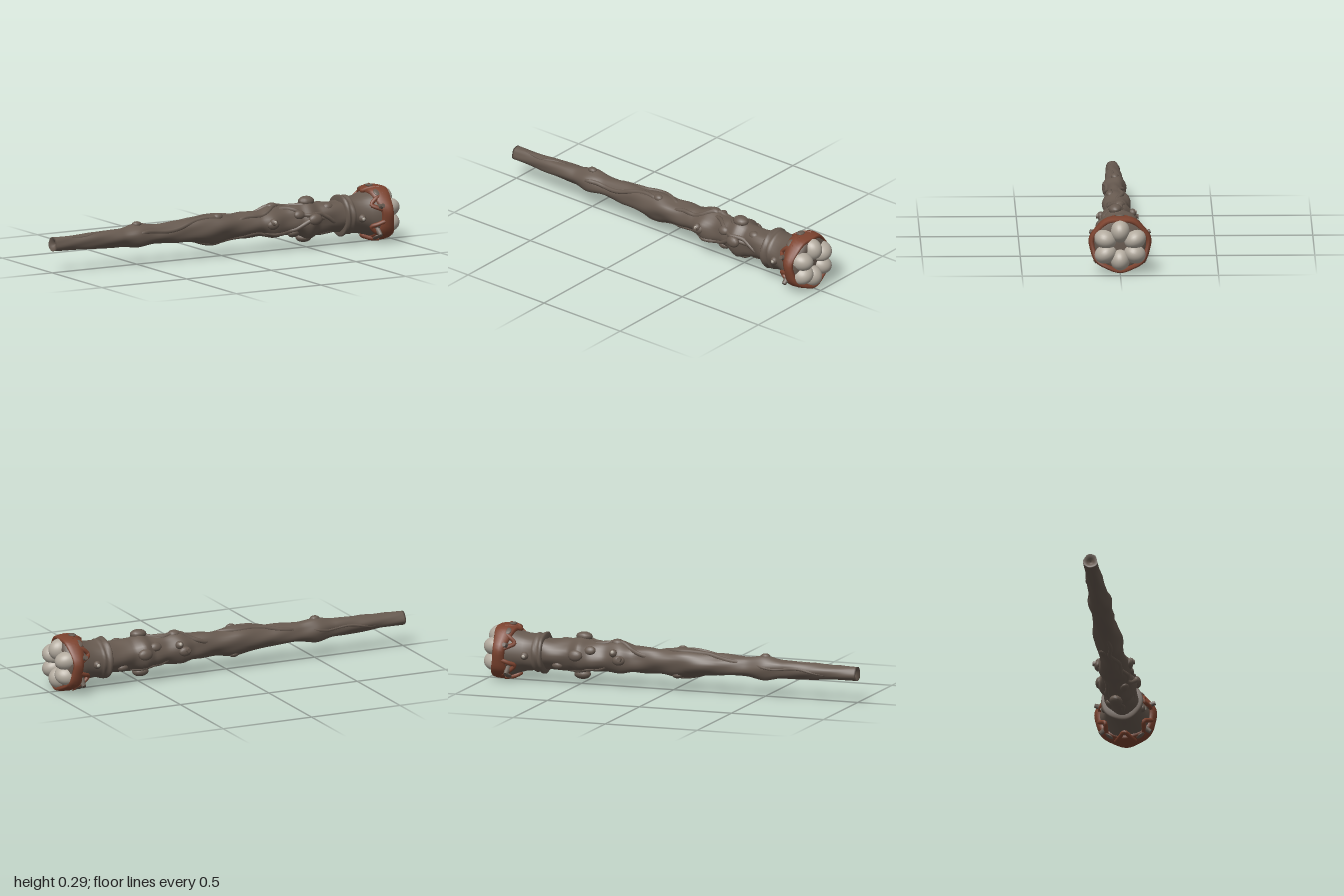
import * as THREE from 'three';

const CY = 0.147; // height of the long axis

// Skin of rings: point(i, a) gives [x, radiusY, radiusZ]; loop joins last ring to first
function loft(rings, sides, point, loop = false) {
  const pos = [], idx = [];
  for (let i = 0; i < rings; i++) {
    for (let j = 0; j < sides; j++) {
      const a = (j / sides) * Math.PI * 2;
      const [x, ry, rz = ry] = point(i, a);
      pos.push(x, CY + Math.sin(a) * ry, Math.cos(a) * rz);
    }
  }
  for (let i = 0; i < (loop ? rings : rings - 1); i++) {
    for (let j = 0; j < sides; j++) {
      const n = ((i + 1) % rings) * sides, m = i * sides, k = (j + 1) % sides;
      idx.push(m + j, n + j, m + k, n + j, n + k, m + k);
    }
  }
  const g = new THREE.BufferGeometry();
  g.setAttribute('position', new THREE.Float32BufferAttribute(pos, 3));
  g.setIndex(idx);
  g.computeVertexNormals();
  return g;
}

export function createModel() {
  const group = new THREE.Group();
  const bark = new THREE.MeshStandardMaterial({ color: 0x675a50 });
  bark.name = 'bark';
  const copper = new THREE.MeshStandardMaterial({ color: 0x7c432f });
  copper.name = 'copper';
  const ivory = new THREE.MeshStandardMaterial({ color: 0xb2aa9e });
  ivory.name = 'ivory';

  const add = (name, geo, mat) => {
    const m = new THREE.Mesh(geo, mat);
    m.name = name;
    group.add(m);
    return m;
  };
  // Point on a circle round the axis
  const around = (x, a, r) => new THREE.Vector3(x, CY + Math.sin(a) * r, Math.cos(a) * r);

  // Tapering shaft with swellings
  const profile = [
    [-1, 0.036], [-0.9, 0.036], [-0.75, 0.043], [-0.6, 0.047], [-0.5, 0.062], [-0.4, 0.05],
    [-0.25, 0.056], [-0.05, 0.074], [0.08, 0.064], [0.2, 0.066], [0.28, 0.084], [0.36, 0.072],
    [0.43, 0.08], [0.49, 0.098], [0.55, 0.079], [0.62, 0.08], [0.72, 0.084],
  ];
  const radiusAt = (x) => {
    let k = 0;
    while (k < profile.length - 2 && x > profile[k + 1][0]) k++;
    const [x0, r0] = profile[k], [x1, r1] = profile[k + 1];
    return THREE.MathUtils.lerp(r0, r1, THREE.MathUtils.smoothstep(x, x0, x1));
  };
  const grain = (x, a) => 1 + 0.045 * Math.sin(3 * a + 9 * x) + 0.03 * Math.sin(5 * a - 23 * x)
    + 0.05 * Math.sin(2 * a + 31 * x) * THREE.MathUtils.smoothstep(x, -0.6, 0.4);
  add('shaft', loft(174, 32, (i, a) => {
    if (i === 0) return [-0.975, 0];
    if (i === 1) return [-0.985, 0.018];
    const x = -1 + (1.72 * (i - 2)) / 171;
    return [x, radiusAt(x) * grain(x, a)];
  }), bark);

  // Raised roots that wander along the shaft
  const roots = [
    [-0.98, -0.6, 0.9, 0.5], [-0.9, -0.4, 3.4, -0.7], [-0.55, 0, 0.1, 1.1], [-0.4, 0.1, 2.4, -0.8],
    [-0.2, 0.3, 4.6, 0.9], [0.05, 0.45, 0.4, 1.6], [0.1, 0.5, 2.6, -1.5], [0.2, 0.6, 5.2, 1.4],
    [0.3, 0.66, 1.3, -1.6], [0.32, 0.68, 3.6, 1.5],
  ];
  roots.forEach(([x0, x1, a0, turn]) => {
    const pts = [];
    for (let i = 0; i <= 10; i++) {
      const t = i / 10, x = THREE.MathUtils.lerp(x0, x1, t);
      const a = a0 + turn * t + 0.2 * Math.sin(t * 11);
      pts.push(around(x, a, radiusAt(x) * grain(x, a) - 0.004 - 0.02 * Math.abs(2 * t - 1) ** 6));
    }
    const size = x1 < 0 ? 0.007 : 0.012;
    add('root', new THREE.TubeGeometry(new THREE.CatmullRomCurve3(pts), 40, size, 8), bark);
  });

  // Knots with broken twig stubs
  const knots = [
    [-0.5, 1.6, 0.02], [-0.04, 1.1, 0.02], [-0.03, 4.3, 0.02], [0.26, 0, 0.026], [0.27, 3.14, 0.026],
    [0.3, 1.7, 0.026], [0.42, 0.5, 0.024], [0.43, 2.6, 0.024], [0.49, 1.4, 0.034], [0.49, 4.6, 0.034],
    [0.5, 0.1, 0.03], [0.5, 3.0, 0.03], [0.4, 5.3, 0.024], [0.6, 0.9, 0.022], [0.61, 3.9, 0.022],
  ];
  const up = new THREE.Vector3(0, 1, 0);
  const outward = (a) => new THREE.Vector3(0, Math.sin(a), Math.cos(a));
  knots.forEach(([x, a, r]) => {
    const k = add('knot', new THREE.SphereGeometry(r, 14, 10), bark);
    k.scale.set(1.3, 0.75, 1);
    k.quaternion.setFromUnitVectors(up, outward(a));
    k.position.copy(around(x, a, radiusAt(x) - 0.002));
  });
  [[0.26, 0.1], [0.26, 3.05]].forEach(([x, a]) => {
    const s = add('twigStub', new THREE.CylinderGeometry(0.011, 0.017, 0.03, 9), bark);
    s.quaternion.setFromUnitVectors(up, outward(a));
    s.position.copy(around(x, a, 0.093));
  });

  // Collar with rolled lips, swelling into the head
  const collar = [[0.685, 0.07], [0.685, 0.1], [0.692, 0.108], [0.703, 0.106], [0.708, 0.097], [0.72, 0.096],
    [0.726, 0.102], [0.736, 0.1], [0.745, 0.094], [0.79, 0.097], [0.83, 0.108], [0.87, 0.126],
    [0.91, 0.136], [0.94, 0.128], [0.952, 0.1], [0.952, 0]];
  add('collar', loft(collar.length, 40, (i, a) => [
    collar[i][0], collar[i][1] * (1 + 0.02 * Math.sin(5 * a + i)),
  ]), bark);

  // Copper band: wide above and below, narrow at the sides
  const section = [[-1, 0.118], [-0.85, 0.133], [-0.2, 0.145], [0.5, 0.143], [0.9, 0.138], [1, 0.13], [0.9, 0.12], [-0.8, 0.108]];
  add('copperBand', loft(section.length, 48, (i, a) => {
    const s = Math.sin(a), half = 0.03 + 0.028 * s * s;
    const r = section[i][1] + 0.003 * Math.sin(7 * a);
    return [0.902 - 0.012 * s + section[i][0] * half, r * 0.99, r * 1.1];
  }, true), copper);

  // Copper strands that lace the band to the collar
  for (let k = 0; k < 6; k++) {
    const a = Math.PI / 6 + (k * Math.PI) / 3;
    const path = [[0.9, -0.36, 0.14], [0.855, -0.2, 0.13], [0.828, 0, 0.114], [0.855, 0.2, 0.13], [0.9, 0.36, 0.14]]
      .map(([x, d, r]) => around(x, a + d, r));
    add('copperStrand', new THREE.TubeGeometry(new THREE.CatmullRomCurve3(path), 20, 0.011, 8), copper);
  }

  // Bark bosses showing through the band, and claws at its sides
  [0.95, 1.57, 2.19, 4.1, 5.3].forEach((a) => {
    const b = add('boss', new THREE.SphereGeometry(0.02, 12, 8), bark);
    b.scale.set(1, 0.35, 1.2);
    b.quaternion.setFromUnitVectors(up, outward(a));
    b.position.copy(around(0.87, a, 0.141));
  });
  [0.36, Math.PI - 0.36, -0.66, Math.PI + 0.66].forEach((a) => {
    const c = add('claw', new THREE.CylinderGeometry(0.011, 0.018, 0.05, 7), bark);
    c.quaternion.setFromUnitVectors(up, outward(a));
    c.position.copy(around(0.865, a, 0.14));
  });

  // Six ivory lobes set in the end
  [[0.075, 0], [0.082, 1.15], [0.084, 2.07], [0.073, Math.PI], [0.084, -2.07], [0.082, -1.15]].forEach(([r, t]) => {
    const lobe = add('lobe', new THREE.SphereGeometry(1, 28, 20), ivory);
    lobe.scale.set(0.066, 0.058, 0.05);
    lobe.rotation.x = t;
    lobe.position.set(0.934, CY - 0.003 + Math.cos(t) * r, Math.sin(t) * r);
  });

  // Small pale studs
  [[0.26, 0.15, 0.088], [0.775, -0.1, 0.097], [0.775, 3.2, 0.097], [0.3, 2.7, 0.086]].forEach(([x, a, r]) => {
    const ring = add('studSeat', new THREE.SphereGeometry(0.021, 12, 10), bark);
    ring.position.copy(around(x, a, r - 0.002));
    const stud = add('stud', new THREE.SphereGeometry(0.011, 12, 10), ivory);
    stud.position.copy(around(x, a, r + 0.011));
  });

  return group;
}
